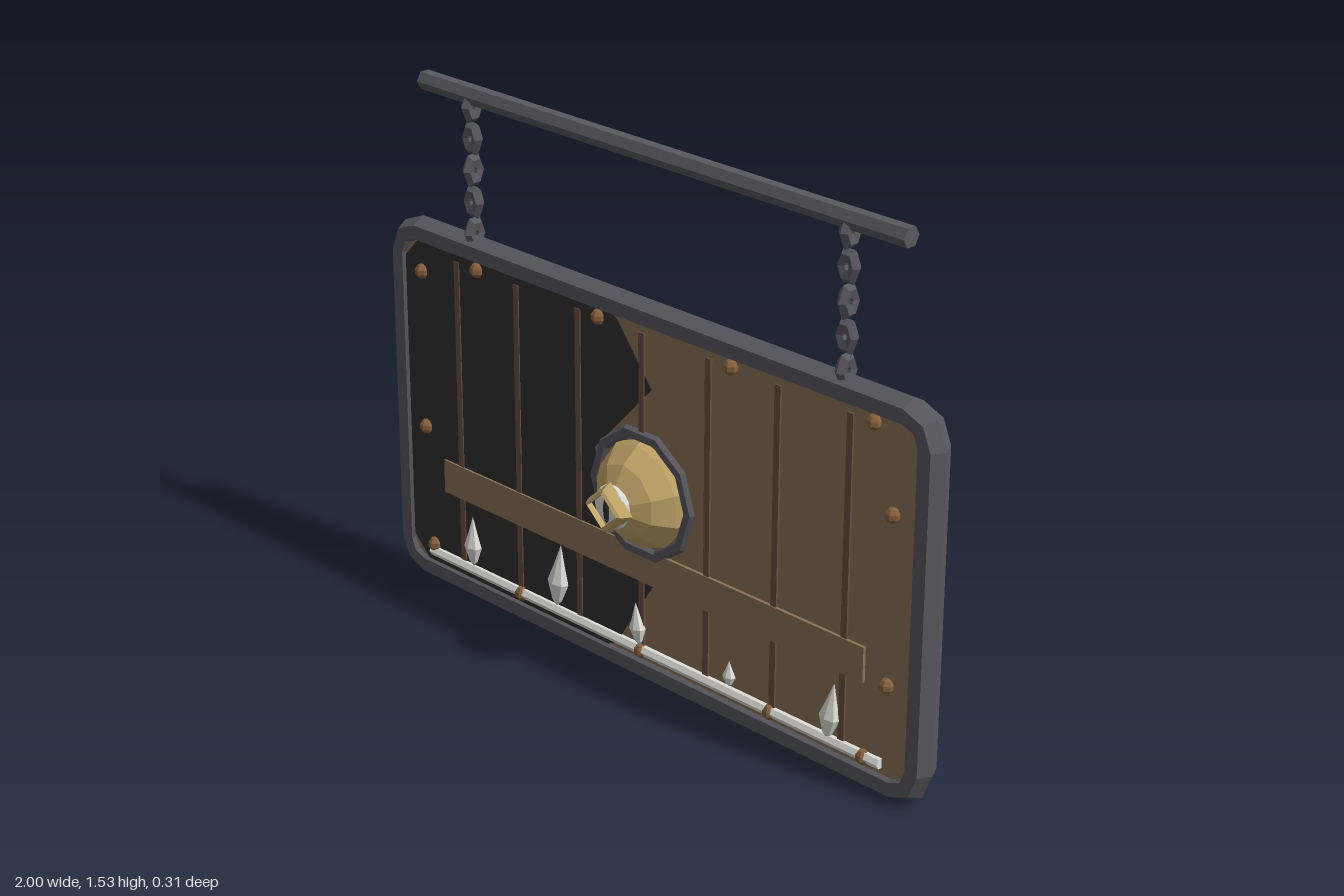
import * as THREE from 'three';

const mat = (name, color) => {
  const m = new THREE.MeshStandardMaterial({ color });
  m.name = name;
  m.flatShading = true;
  return m;
};

export function createModel() {
  const root = new THREE.Group();
  root.name = 'hangingShield';
  const wood = mat('tan wood', 0x8b7355);
  const dark = mat('charcoal paint', 0x303030);
  const iron = mat('dark iron', 0x58585f);
  const brown = mat('dark brown', 0x694e3f);
  const copper = mat('copper rivet', 0x865f3e);
  const gold = mat('dull gold', 0xc0a468);
  const bone = mat('bone white', 0xdededa);

  const add = (name, geo, material, x = 0, y = 0, z = 0, parent = root) => {
    const m = new THREE.Mesh(geo, material);
    m.name = name;
    m.position.set(x, y, z);
    parent.add(m);
    return m;
  };
  const box = (name, w, h, d, material, x, y, z) =>
    add(name, new THREE.BoxGeometry(w, h, d), material, x, y, z);
  // lathe whose axis points to the front; profile runs [radius, z]
  const lathe = (pts, seg) =>
    new THREE.LatheGeometry(pts.map(p => new THREE.Vector2(...p)), seg).rotateX(Math.PI / 2);

  // outline of the rounded board at a given corner radius
  const corners = [[0.89, 0.995], [-0.89, 0.995], [-0.89, 0.11], [0.89, 0.11]];
  const outline = [];
  corners.forEach(([x, y], c) => {
    for (let k = 0; k < 3; k++) outline.push([x, y, (c + k / 2) * Math.PI / 2]);
  });

  // wooden board
  const boardShape = new THREE.Shape(outline.map(([x, y, a]) =>
    new THREE.Vector2(x + 0.07 * Math.cos(a), y + 0.07 * Math.sin(a))));
  add('board', new THREE.ExtrudeGeometry(boardShape, { depth: 0.048, bevelEnabled: false }), wood, 0, 0, -0.042);

  // iron rim: a hexagonal section swept around the outline
  const pos = [], idx = [], N = outline.length;
  outline.forEach(([x, y, a], i) => {
    for (let j = 0; j < 6; j++) {
      const t = j * Math.PI / 3, r = 0.07 + 0.04 * Math.cos(t);
      pos.push(x + r * Math.cos(a), y + r * Math.sin(a), -0.02 + 0.044 * Math.sin(t));
      const p = i * 6 + j, q = i * 6 + (j + 1) % 6;
      const p2 = ((i + 1) % N) * 6 + j, q2 = ((i + 1) % N) * 6 + (j + 1) % 6;
      idx.push(p, p2, q, p2, q2, q);
    }
  });
  let rim = new THREE.BufferGeometry();
  rim.setAttribute('position', new THREE.Float32BufferAttribute(pos, 3));
  rim.setIndex(idx);
  rim = rim.toNonIndexed();
  rim.computeVertexNormals();
  add('rim', rim, iron);

  // painted half with a jagged edge
  const paint = new THREE.Shape([
    [-0.94, 0.13], [-0.87, 0.06], [-0.14, 0.06], [-0.1, 0.08], [0.04, 0.3], [-0.1, 0.45],
    [-0.18, 0.64], [0.035, 0.87], [-0.09, 1.03], [-0.13, 1.055], [-0.87, 1.055], [-0.94, 0.98],
  ].map(p => new THREE.Vector2(...p)));
  add('paintedHalf', new THREE.ExtrudeGeometry(paint, { depth: 0.004, bevelEnabled: false }), dark, 0, 0, 0.005);

  // plank seams and cross bar
  for (let i = -3; i <= 3; i++) box('plankSeam', 0.02, 0.92, 0.012, brown, i * 0.24, 0.56, 0.006);
  box('crossBar', 1.58, 0.1, 0.016, wood, 0, 0.355, 0.007);

  // rivets
  [[-0.865, 0.955], [-0.635, 1.02], [-0.16, 1.02], [0.32, 1.02], [0.797, 1.02], [0.866, 0.795], [0.866, 0.325],
    [0.797, 0.095], [0.475, 0.095], [0, 0.095], [-0.475, 0.095], [-0.845, 0.12], [-0.865, 0.485],
  ].forEach(([x, y]) => add('rivet', new THREE.SphereGeometry(0.022, 7, 5), copper, x, y, 0.01));

  // jaw rod with teeth: [x, bottom, height, lean]
  add('jawRod', new THREE.CylinderGeometry(0.016, 0.016, 1.71, 6).rotateZ(Math.PI / 2), bone, 0, 0.098, 0.01);
  [[-0.675, 0.11, 0.155, 0], [-0.33, 0.11, 0.195, -0.1], [-0.005, 0.11, 0.125, 0.12],
    [0.33, 0.115, 0.075, 0], [0.675, 0.1, 0.17, -0.13],
  ].forEach(([x, y, h, lean]) => {
    const w = 0.012 + 0.12 * h;
    const geo = new THREE.LatheGeometry([[0, 0], [w * 0.45, h * 0.1], [w, h * 0.4], [w * 0.55, h * 0.65], [0, h]]
      .map(p => new THREE.Vector2(...p)), 7);
    const tooth = add('tooth', geo, bone, x, y, 0.014);
    tooth.rotation.z = lean;
    tooth.scale.z = 0.7;
  });

  // central boss
  const boss = new THREE.Group();
  boss.name = 'boss';
  boss.position.set(0, 0.56, 0);
  root.add(boss);
  add('bossRing', new THREE.TorusGeometry(0.175, 0.022, 6, 10), iron, 0, 0, 0, boss);
  add('bossDome', lathe([[0.16, 0], [0.148, 0.025], [0.107, 0.076], [0.044, 0.113], [0, 0.12]], 10), gold, 0, 0, 0, boss);

  // eye: ball, slit pupil and flared diamond lids
  const ball = add('eyeball', new THREE.SphereGeometry(0.062, 12, 8), bone, 0, 0, 0.117, boss);
  ball.scale.z = 0.4;
  const pupil = add('pupil', new THREE.SphereGeometry(0.04, 8, 6), dark, 0, 0, 0.139, boss);
  pupil.scale.set(0.3, 1, 0.15);
  const lids = add('eyelids', lathe([[0.083, 0.124], [0.066, 0.152], [0.054, 0.158], [0.056, 0.138], [0.083, 0.124]], 4),
    gold, 0, 0, 0, boss);
  lids.scale.y = 0.9;
  lids.material.side = THREE.DoubleSide;

  // grip on the back
  const grip = new THREE.CurvePath();
  const g = [[0.715, -0.03], [0.655, -0.132], [0.465, -0.132], [0.405, -0.03]].map(([y, z]) => new THREE.Vector3(0, y, z));
  for (let i = 0; i < 3; i++) {
    const d = g[i + 1].clone().sub(g[i]);
    const rod = add('grip', new THREE.CylinderGeometry(0.025, 0.025, d.length(), 8), brown);
    rod.position.copy(g[i]).addScaledVector(d, 0.5);
    rod.quaternion.setFromUnitVectors(new THREE.Vector3(0, 1, 0), d.normalize());
    if (i) add('gripJoint', new THREE.SphereGeometry(0.025, 8, 6), brown, 0, g[i].y, g[i].z);
  }

  // hanging bar and chains
  add('hangingBar', new THREE.CylinderGeometry(0.028, 0.028, 1.73, 6).rotateZ(Math.PI / 2), iron, 0, 1.502, -0.02);
  for (const s of [-1, 1]) {
    for (let i = 0; i < 5; i++) {
      const link = add('chainLink', new THREE.TorusGeometry(0.02, 0.016, 5, 6), iron, s * 0.675, 1.11 + i * 0.09, -0.02);
      link.scale.y = 1.45;
      link.rotation.y = i % 2 ? 0 : Math.PI / 2;
    }
  }
  return root;
}
